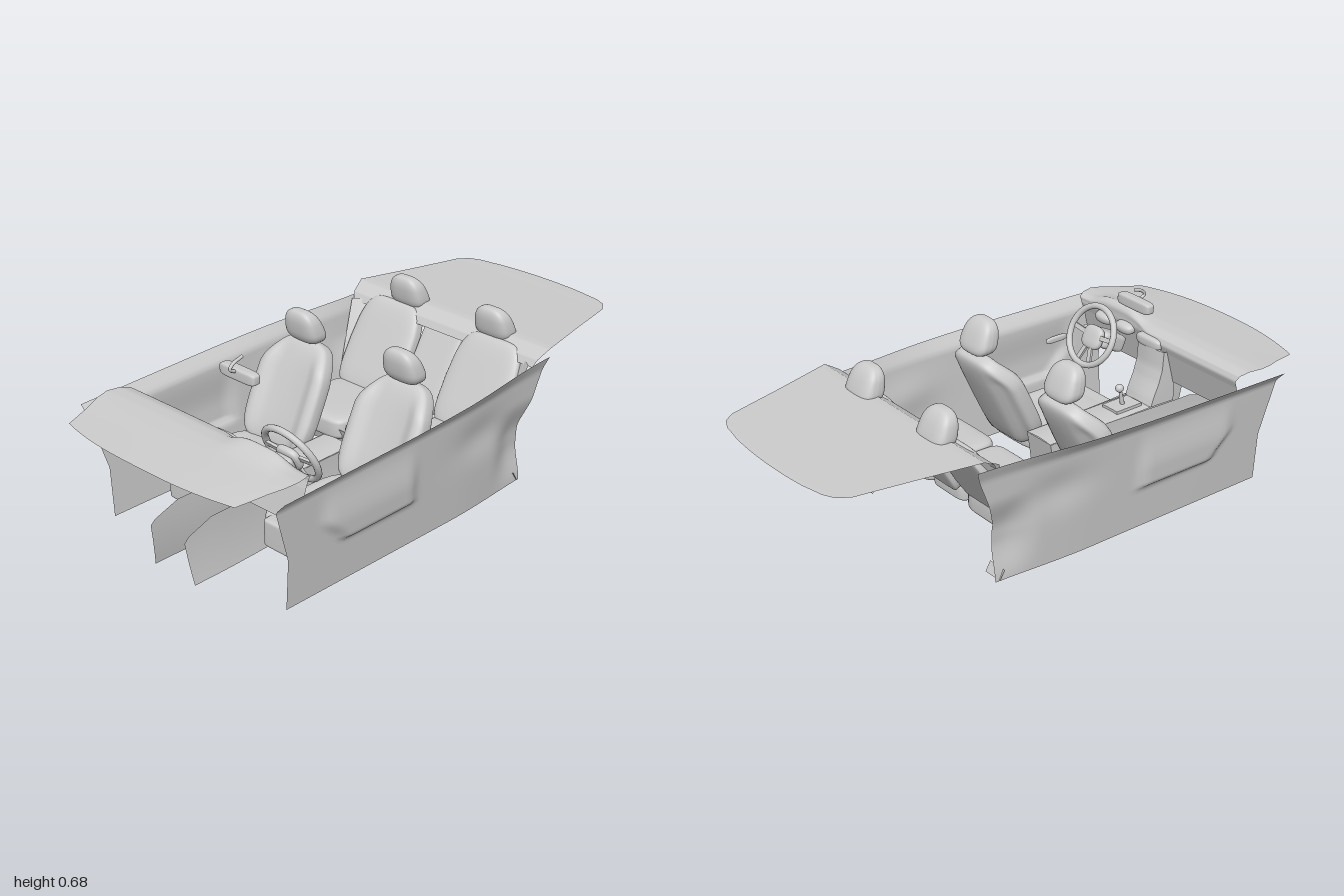
import * as THREE from 'three';

const { lerp, smoothstep, clamp } = THREE.MathUtils;
const solid = new THREE.MeshStandardMaterial({ color: 0xcccccc });
const thin = new THREE.MeshStandardMaterial({ color: 0xcccccc, side: THREE.DoubleSide });

function add(parent, name, geometry, pos = [0, 0, 0], rot = [0, 0, 0], material = solid) {
  const mesh = new THREE.Mesh(geometry, material);
  mesh.name = name;
  mesh.position.set(...pos);
  mesh.rotation.set(...rot);
  parent.add(mesh);
}

// Moves every vertex of a geometry by a rule
function reshape(geometry, rule) {
  const p = geometry.attributes.position;
  for (let i = 0; i < p.count; i++) p.setXYZ(i, ...rule(p.getX(i), p.getY(i), p.getZ(i)));
  geometry.computeVertexNormals();
  return geometry;
}

// Thin two-sided surface over u, v in 0..1
const addSheet = (parent, name, nu, nv, f) => add(parent, name,
  reshape(new THREE.PlaneGeometry(1, 1, nu, nv), (x, y) => f(x + 0.5, y + 0.5)), [0, 0, 0], [0, 0, 0], thin);

// Upholstered block: a squared-off sphere with half sizes a, b, c
function pad(a, b, c, power = 0.45, rule = (x, y, z) => [x, y, z]) {
  const sq = (n) => Math.sign(n) * Math.abs(n) ** power;
  return reshape(new THREE.SphereGeometry(1, 36, 24), (x, y, z) => {
    const r = Math.hypot(x, z) || 1e-6;
    const w = r ** power;
    return rule(a * w * sq(x / r), b * sq(y), c * w * sq(z / r));
  });
}

// Piecewise linear section lookup
function along(points, t) {
  const s = clamp(t, 0, 1) * (points.length - 1);
  const i = Math.min(Math.floor(s), points.length - 2);
  return points[i].map((a, k) => lerp(a, points[i + 1][k], s - i));
}

// Headrest, wide at the foot, its top leaning forward
function headrest(parent, pos) {
  add(parent, 'headrest', pad(0.077, 0.064, 0.048, 0.62, (x, y, z) => {
    const h = (y + 0.064) / 0.128;
    return [x * lerp(1.02, 0.76, h * h), y, z * lerp(1, 0.6, h * h) + 0.3 * y];
  }), pos);
}

function frontSeat(side) {
  const g = new THREE.Group();
  g.name = 'frontSeat';
  // Cushion with raised side bolsters and a squared front
  add(g, 'cushion', pad(0.16, 0.042, 0.21, 0.5,
    (x, y, z) => [x, y + (y > 0 ? 0.012 * smoothstep(Math.abs(x), 0.08, 0.14) : 0), z]), [0, 0.118, 0.375]);
  add(g, 'cushionFront', pad(0.105, 0.052, 0.1, 0.15), [0, 0.103, 0.497]);
  // Backrest narrowing to the shoulders
  add(g, 'backrest', pad(0.16, 0.205, 0.042, 0.5, (x, y, z) => [
    x * (1 - 0.2 * smoothstep(y, 0.06, 0.2)), y,
    z + 0.03 * smoothstep(Math.abs(x), 0.07, 0.13) * (1 - smoothstep(y, 0.08, 0.2)),
  ]), [0, 0.305, 0.09], [-0.45, 0, 0]);
  headrest(g, [0.002, 0.556, 0.035]);
  g.position.x = side * 0.236;
  return g;
}

function rearSeat(side) {
  const g = new THREE.Group();
  g.name = 'rearSeat';
  add(g, 'rearCushion', pad(0.145, 0.045, 0.155, 0.35), [0.002, 0.165, -0.15]);
  // Backrest with a flat rear
  add(g, 'rearBackrest', pad(0.148, 0.185, 0.04, 0.4,
    (x, y, z) => [x * (1 - 0.1 * smoothstep(y, 0.02, 0.18)), y, z < 0 ? z * 0.3 : z]),
  [0.003, 0.33, -0.372], [-0.53, 0, 0]);
  headrest(g, [-0.03, 0.54, -0.475]);
  g.position.x = side * 0.235;
  g.scale.x = side;
  return g;
}

function door(side) {
  const g = new THREE.Group();
  g.name = 'doorPanel';
  // Skin with a map pocket, a flared sill and a wheel arch pushing in at the rear
  addSheet(g, 'doorSkin', 56, 36, (u, v) => {
    const h = 0.015 + v * 0.43;
    const front = lerp(0.77, 0.83, clamp((h - 0.2) / 0.2, 0, 1));
    const rear = lerp(-0.4, -0.5, clamp((h - 0.22) / 0.23, 0, 1));
    const z = lerp(rear, front, u);
    const y = 0.012 + v * lerp(0.46, 0.428, u);
    const lip = 0.038 * clamp((v - 0.9) / 0.1, 0, 1) * lerp(0.35, 1, smoothstep(z, -0.5, 0.3));
    const taper = 0.025 * smoothstep(-z, 0, 0.5);
    const slope = 0.08 * smoothstep(y, 0.17, 0.28);
    const pocket = 0.018 * smoothstep(y, 0.165, 0.185) * (1 - smoothstep(y, 0.24, 0.4))
      * smoothstep(z, 0.17, 0.23) * (1 - smoothstep(z, 0.5 + slope, 0.56 + slope));
    const dent = 0.014 * Math.exp(-(((z + 0.15) / 0.13) ** 2) - ((y - 0.29) / 0.07) ** 2);
    const arch = 0.03 * smoothstep(-z, 0.22, 0.36) * smoothstep(y, 0, 0.16) * (1 - smoothstep(y, 0.2, 0.34));
    return [0.425 + 0.028 * v + lip - taper + pocket - dent - arch, y, z];
  });
  add(g, 'doorHandle', pad(0.008, 0.012, 0.05, 0.6), [0.432, 0.32, 0.55]);
  // Low flange at the foot of the wheel arch
  addSheet(g, 'archFlange', 4, 2, (u, v) => [lerp(0.33, 0.408, u), lerp(0.015, 0.05, v), -0.385 + 0.02 * v]);
  // Trim beside the rear backrest
  addSheet(g, 'rearTrim', 4, 8, (u, v) =>
    [lerp(0.35, lerp(0.385, 0.425, v), u), lerp(0.2, 0.468, v), lerp(-0.29, -0.45, v) + 0.05 * u * v]);
  g.scale.x = side;
  return g;
}

function dashboard() {
  const g = new THREE.Group();
  g.name = 'dashboard';
  // z, y and half width from windscreen edge over the top to the face
  const sections = [[1, 0.455, 0.40], [0.94, 0.46, 0.415], [0.87, 0.466, 0.43], [0.8, 0.472, 0.45],
    [0.74, 0.476, 0.46], [0.69, 0.474, 0.45], [0.655, 0.462, 0.44], [0.645, 0.44, 0.43], [0.655, 0.41, 0.428]];
  const recess = (x) => 0.026 * smoothstep(x, 0.03, 0.12);
  addSheet(g, 'dashTop', 60, 36, (u, v) => {
    const t = 1 - v;
    const [z, y, w] = along(sections, t);
    const s = 2 * u - 1;
    const x = s * w;
    const hood = Math.exp(-(((x - 0.235) / 0.12) ** 4)) * Math.exp(-(((t - 0.66) / 0.15) ** 2));
    const bow = 0.05 * Math.abs(s) ** 2.5 * (1 - smoothstep(t, 0, 0.5));
    return [x, y + 0.03 * hood - 0.01 * s * s * (1 - t), z - bow + recess(x) * smoothstep(t, 0.55, 0.9)];
  });
  // Knee panels either side of the centre stack
  for (const s of [-1, 1])
    addSheet(g, 'kneePanel', 16, 8, (u, v) => {
      const x = s * lerp(0.07, 0.428, u);
      return [x, lerp(0.29, 0.41, v), lerp(0.685, 0.655, v) + recess(x)];
    });
  // Instrument pods
  for (const x of [0.175, 0.29])
    add(g, 'instrumentPod', pad(0.045, 0.022, 0.03, 0.8), [x, 0.428, 0.672], [-0.2, 0, 0]);
  add(g, 'centreVents', pad(0.065, 0.022, 0.025, 0.6), [0.02, 0.432, 0.655]);
  // Centre stack: a curved face with two cheeks, open behind
  const face = [[0.585, 0.215], [0.595, 0.245], [0.62, 0.3], [0.635, 0.35], [0.64, 0.42]];
  addSheet(g, 'stackFace', 8, 16, (u, v) => {
    const [z, y] = along(face, v);
    return [lerp(-0.07, 0.07, u), y, z - 0.008 * Math.sin(Math.PI * u)];
  });
  for (const s of [-1, 1])
    addSheet(g, 'stackCheek', 4, 12, (u, v) => {
      const [z, y] = along(face, v);
      return [s * lerp(0.07, 0.076, u), y, lerp(z, 0.69, u)];
    });
  return g;
}

function steering() {
  const g = new THREE.Group();
  g.name = 'steeringWheel';
  add(g, 'rim', new THREE.TorusGeometry(0.112, 0.012, 12, 48));
  add(g, 'hub', pad(0.05, 0.045, 0.018, 0.7), [0, -0.005, 0.012]);
  for (const angle of [0.1, Math.PI - 0.1, -Math.PI / 2 - 0.3, -Math.PI / 2 + 0.3])
    add(g, 'spoke', new THREE.BoxGeometry(0.07, 0.018, 0.01),
      [Math.cos(angle) * 0.075, Math.sin(angle) * 0.075, 0.006], [0, 0, angle]);
  add(g, 'columnCover', pad(0.052, 0.034, 0.06, 0.4), [0, 0, 0.085]);
  add(g, 'stalk', new THREE.CylinderGeometry(0.004, 0.007, 0.08, 8), [0.08, 0.01, 0.075], [0, 0, Math.PI / 2]);
  g.position.set(0.225, 0.41, 0.545);
  g.rotation.x = 0.45;
  return g;
}

function centreConsole() {
  const g = new THREE.Group();
  g.name = 'centreConsole';
  // Side walls, flaring towards the open front
  for (const s of [-1, 1])
    addSheet(g, 'consoleSide', 24, 12, (u, v) => {
      const front = v < 0.8 ? lerp(0.865, 0.89, v / 0.8) : lerp(0.89, 0.77, (v - 0.8) / 0.2);
      const z = lerp(lerp(0.15, 0.11, v), front, u);
      const flare = smoothstep(z, 0.3, 0.8);
      const foot = 0.016 * (1 - v) ** 2;
      return [s * (lerp(0.066, 0.082, flare) + foot), 0.002 + v * 0.213, z];
    });
  addSheet(g, 'consoleTop', 8, 12, (u, v) =>
    [lerp(-0.067, 0.067, u), 0.213 + 0.006 * Math.sin(Math.PI * u), lerp(0.11, 0.64, v)]);
  addSheet(g, 'consoleRear', 2, 4, (u, v) =>
    [(2 * u - 1) * (0.066 + 0.016 * (1 - v) ** 2), 0.002 + v * 0.213, lerp(0.15, 0.11, v)]);
  add(g, 'shiftPlate', new THREE.BoxGeometry(0.08, 0.012, 0.12), [0, 0.222, 0.505]);
  add(g, 'shiftLever', new THREE.CylinderGeometry(0.006, 0.009, 0.07, 12), [0, 0.255, 0.5], [-0.2, 0, 0]);
  add(g, 'shiftKnob', new THREE.SphereGeometry(0.016, 16, 12), [0, 0.295, 0.49]);
  return g;
}

function mirror() {
  const g = new THREE.Group();
  g.name = 'rearViewMirror';
  add(g, 'mirrorHousing', pad(0.084, 0.022, 0.02, 0.4), [-0.006, 0.62, 0.55]);
  const path = new THREE.CatmullRomCurve3([[0.565, 0.63], [0.59, 0.645], [0.575, 0.662], [0.535, 0.675]]
    .map(([z, y]) => new THREE.Vector3(-0.008, y, z)));
  add(g, 'mirrorStem', new THREE.TubeGeometry(path, 16, 0.006, 8));
  return g;
}

export function createModel() {
  const model = new THREE.Group();
  model.name = 'carInterior';
  for (const side of [-1, 1]) model.add(frontSeat(side), rearSeat(side), door(side));
  model.add(dashboard(), steering(), centreConsole(), mirror());

  // Middle of the rear bench
  add(model, 'rearMiddleCushion', pad(0.095, 0.035, 0.15, 0.3), [0, 0.165, -0.15]);
  add(model, 'rearMiddleBack', pad(0.09, 0.175, 0.02, 0.3), [0, 0.335, -0.385], [-0.53, 0, 0]);
  addSheet(model, 'benchFront', 8, 3, (u, v) =>
    [lerp(-0.36, 0.36, u), lerp(0.08, 0.17, v), -0.04 + 0.03 * v]);

  // Parcel shelf, its front edge sloping down onto the rear backrests
  const shelf = [[-1, 0.495, 0.2], [-0.982, 0.496, 0.28], [-0.955, 0.497, 0.325], [-0.91, 0.498, 0.355],
    [-0.7, 0.505, 0.402], [-0.48, 0.513, 0.455], [-0.43, 0.483, 0.442], [-0.415, 0.455, 0.43]];
  addSheet(model, 'parcelShelf', 24, 42, (u, v) => {
    const [z, y, w] = along(shelf, v);
    const s = 2 * u - 1;
    return [s * w, y, z + 0.012 * s * s * (1 - smoothstep(v, 0, 0.4))];
  });
  return model;
}
